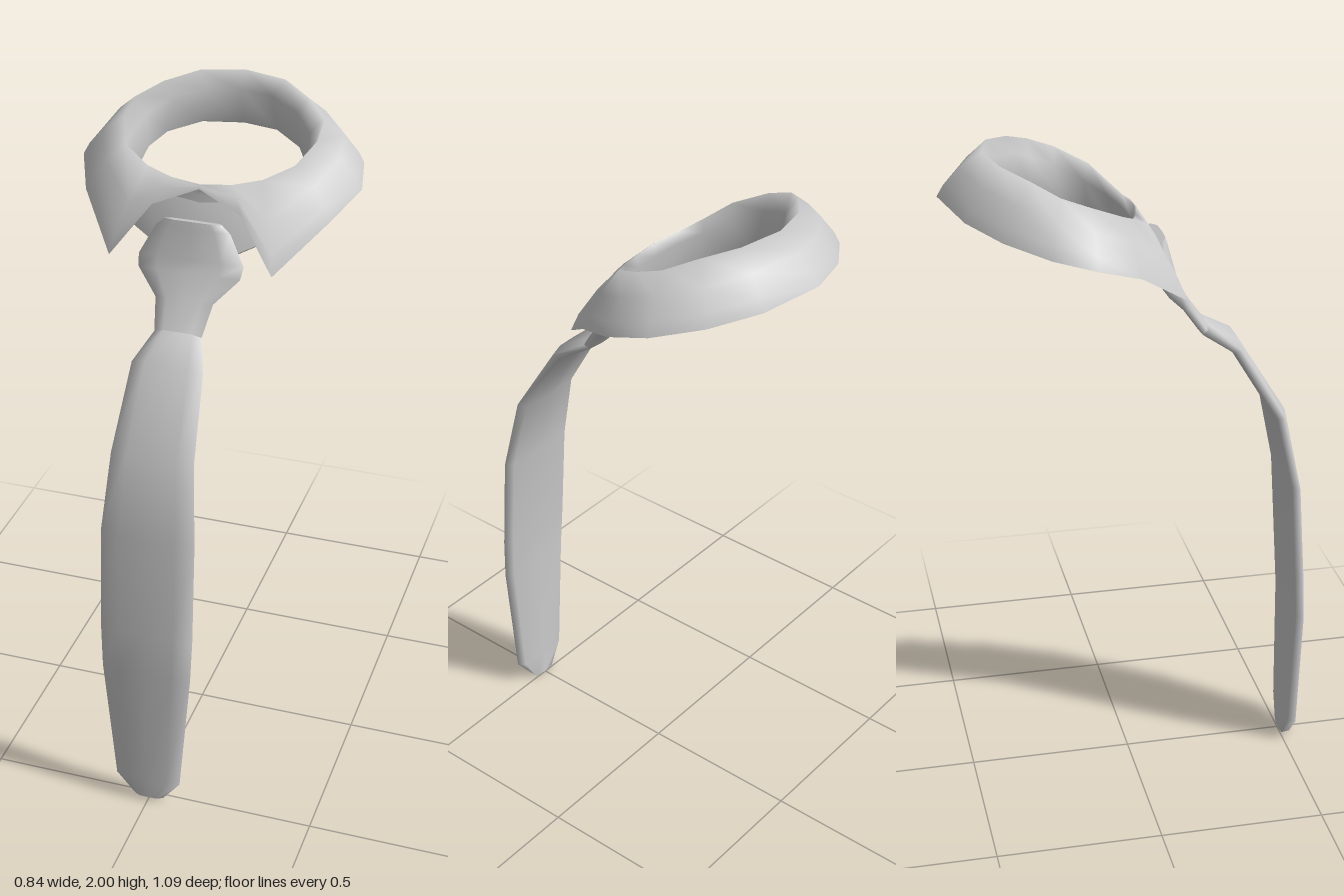
import * as THREE from 'three';

const V = (p) => new THREE.Vector3(...p);

// Skin a closed or open grid of points (rows of Vector3)
function skin(rows, wrapRows, wrapCols) {
  const n = rows.length, m = rows[0].length, index = [];
  for (let i = 0; i < (wrapRows ? n : n - 1); i++) {
    for (let j = 0; j < (wrapCols ? m : m - 1); j++) {
      const i2 = (i + 1) % n, j2 = (j + 1) % m;
      const a = i * m + j, b = i * m + j2, c = i2 * m + j, d = i2 * m + j2;
      index.push(a, c, b, b, c, d);
    }
  }
  const geo = new THREE.BufferGeometry().setFromPoints(rows.flat());
  geo.setIndex(index);
  geo.computeVertexNormals();
  return geo;
}

// Collar: half a ring of stations, from the back (x = 0) round to the front
const EDGE = [[0, 1.88, -0.54], [0.17, 1.855, -0.485], [0.3, 1.835, -0.4], [0.395, 1.81, -0.285],
  [0.42, 1.78, -0.165], [0.365, 1.73, -0.035], [0.24, 1.61, 0.12], [0.13, 1.755, 0.06], [0, 1.805, 0.03]];
const CREST = [[0, 2, -0.41], [0.13, 1.995, -0.38], [0.22, 1.975, -0.31], [0.285, 1.945, -0.24],
  [0.29, 1.915, -0.16], [0.25, 1.87, -0.065], [0.17, 1.835, -0.02], [0.09, 1.82, 0.005], [0, 1.815, 0.02]];
const INNER = [[0, 1.95, -0.375], [0.1, 1.95, -0.35], [0.19, 1.935, -0.29], [0.245, 1.9, -0.235],
  [0.265, 1.87, -0.165], [0.235, 1.82, -0.08], [0.17, 1.795, -0.025], [0.09, 1.785, 0], [0, 1.78, 0.01]];
const BASE = [[0, 1.85, -0.38], [0.11, 1.85, -0.355], [0.2, 1.83, -0.29], [0.24, 1.8, -0.23],
  [0.25, 1.755, -0.14], [0.23, 1.72, -0.07], [0.17, 1.67, 0], [0.09, 1.63, 0.03], [0, 1.61, 0.045]];

function outward(p, dist, dy) {
  const dir = new THREE.Vector3(p.x, 0, p.z + 0.17).normalize();
  const q = p.clone().addScaledVector(dir, dist);
  q.y += dy;
  return q;
}

function collarGeometry() {
  const half = EDGE.map((e, i) => {
    const edge = V(e), crest = V(CREST[i]), inner = V(INNER[i]), base = V(BASE[i]);
    const len = edge.distanceTo(crest);
    const bulge = crest.clone().lerp(edge, 0.5);
    bulge.y += len * 0.1;
    const low = crest.clone().lerp(edge, 0.85);
    low.y += len * 0.08;
    // band outside, rounded bottom, inside, fold, then the flap
    return [outward(crest, 0.01, -0.05), outward(base, 0.045, 0.005), outward(base, 0.022, -0.012),
      base, inner, crest, bulge, low, edge];
  });
  const mirrored = half.slice(1, -1).reverse()
    .map((row) => row.map((p) => new THREE.Vector3(-p.x, p.y, p.z)));
  return skin([...half, ...mirrored], true, false);
}

// Tie sections: half width, front y, front z, back y, back z
const KNOT = [[0.085, 1.735, 0.1, 1.72, 0.055], [0.11, 1.715, 0.105, 1.69, 0.05],
  [0.155, 1.63, 0.125, 1.605, 0.07], [0.15, 1.595, 0.14, 1.575, 0.09],
  [0.085, 1.53, 0.175, 1.51, 0.15], [0.07, 1.455, 0.23, 1.425, 0.21]];
const BLADE = [[0.07, 1.455, 0.23, 1.425, 0.21], [0.105, 1.4, 0.325, 1.37, 0.3],
  [0.122, 1.175, 0.465, 1.155, 0.43], [0.14, 0.935, 0.515, 0.93, 0.48], [0.14, 0.62, 0.538, 0.62, 0.5],
  [0.135, 0.48, 0.545, 0.48, 0.508], [0.1, 0.08, 0.545, 0.08, 0.505], [0.045, 0.015, 0.543, 0, 0.5]];
// Cross-section: share of half width, depth from back (0) to front (1)
const SECTION = [[0, 1], [0.6, 0.97], [1, 0.65], [0.85, 0.1], [0, 0],
  [-0.85, 0.1], [-1, 0.65], [-0.6, 0.97]];

function tieGeometry(sections) {
  const rows = sections.map(([w, fy, fz, by, bz]) => SECTION.map(([s, d]) =>
    new THREE.Vector3(s * w, by + (fy - by) * d, bz + (fz - bz) * d)));
  // close both ends with flat caps
  const cap = (row) => {
    const mid = row[0].clone().lerp(row[4], 0.5);
    return [row.map((p) => p.clone()), row.map(() => mid.clone())];
  };
  const [topRing, topMid] = cap(rows[0]);
  const [endRing, endMid] = cap(rows[rows.length - 1]);
  return [skin(rows, false, true), skin([topMid, topRing], false, true), skin([endRing, endMid], false, true)];
}

export function createModel() {
  const group = new THREE.Group();
  group.name = 'collarAndTie';
  const cloth = new THREE.MeshStandardMaterial({ color: 0xcccccc, side: THREE.DoubleSide });
  const add = (name, geo, parent) => {
    const mesh = new THREE.Mesh(geo, cloth);
    mesh.name = name;
    parent.add(mesh);
  };
  add('foldedCollar', collarGeometry(), group);
  for (const [name, sections] of [['tieKnot', KNOT], ['tieBlade', BLADE]]) {
    const part = new THREE.Group();
    part.name = name;
    const [body, top, end] = tieGeometry(sections);
    add(name + 'Body', body, part);
    add(name + 'Top', top, part);
    add(name + 'End', end, part);
    group.add(part);
  }
  return group;
}
